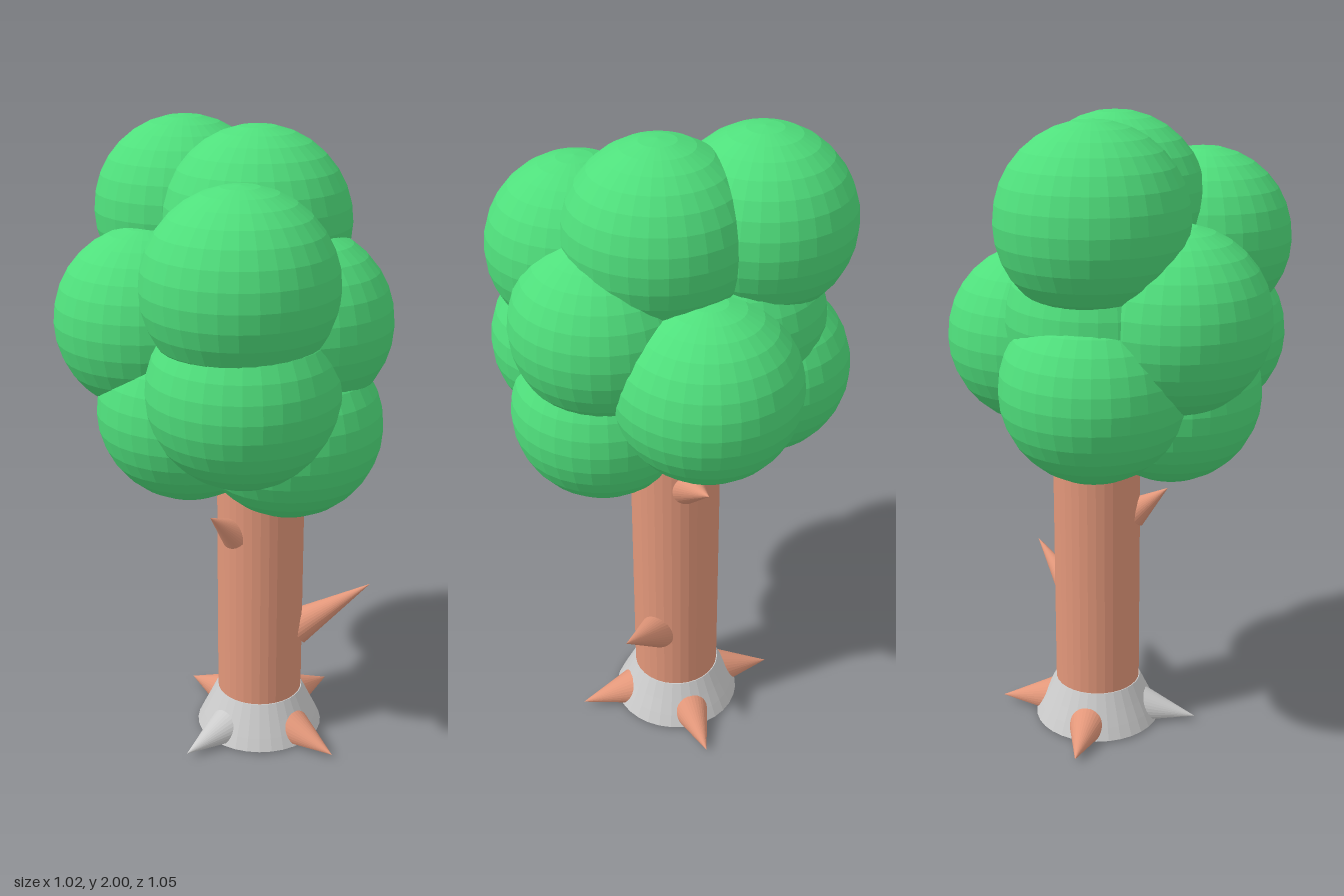
import * as THREE from 'three';

const leafMat = new THREE.MeshStandardMaterial({ color: 0x4fdf7c, flatShading: true });
const barkMat = new THREE.MeshStandardMaterial({ color: 0xe2977a, flatShading: true });
const greyMat = new THREE.MeshStandardMaterial({ color: 0xcccccc, flatShading: true });

const TRUNK_X = 0.058, TRUNK_Z = 0.04, TRUNK_R = 0.139;
const UP = new THREE.Vector3(0, 1, 0);

function add(parent, name, geometry, material) {
  const mesh = new THREE.Mesh(geometry, material);
  mesh.name = name;
  parent.add(mesh);
  return mesh;
}

// Cone running from the centre of its base to its tip
function spike(base, tip, radius) {
  const a = new THREE.Vector3(...base);
  const axis = new THREE.Vector3(...tip).sub(a);
  const height = axis.length();
  const geometry = new THREE.ConeGeometry(radius, height, 32);
  geometry.translate(0, height / 2, 0);
  geometry.applyQuaternion(new THREE.Quaternion().setFromUnitVectors(UP, axis.normalize()));
  return geometry.translate(a.x, a.y, a.z);
}

// Root spur: a spike with its underside flattened to the ground
function rootSpur() {
  const geometry = spike([0.12, 0.042, 0], [0.334, 0.018, 0], 0.076);
  const p = geometry.attributes.position;
  for (let i = 0; i < p.count; i++) p.setY(i, Math.max(p.getY(i), 0.01));
  geometry.computeVertexNormals();
  return geometry;
}

export function createModel() {
  const tree = new THREE.Group();
  tree.name = 'tree';

  // Trunk
  const trunk = add(tree, 'trunk', new THREE.CylinderGeometry(TRUNK_R, TRUNK_R, 1.2, 32), barkMat);
  trunk.position.set(TRUNK_X, 0.6, TRUNK_Z);

  // Flared collar around the foot, with a ring-shaped underside
  const collarProfile = [[0.138, 0.006], [0.208, 0.006], [0.19, 0.045], [0.168, 0.09], [0.142, 0.145], [0.138, 0.145]]
    .map(([r, y]) => new THREE.Vector2(r, y));
  const collar = add(tree, 'rootCollar', new THREE.LatheGeometry(collarProfile, 32), greyMat);
  collar.position.set(TRUNK_X, 0, TRUNK_Z);

  // Four root spurs, the one towards -x grey
  for (let i = 0; i < 4; i++) {
    const root = add(tree, 'rootSpur', rootSpur(), i === 2 ? greyMat : barkMat);
    root.position.set(TRUNK_X, 0, TRUNK_Z);
    root.rotation.y = i * Math.PI / 2;
  }

  // Branch stubs
  const stubs = [
    [[0.165, 0.95, 0.04], [0.373, 1.06, 0.038], 0.056],
    [[0.14, 0.36, 0.125], [0.325, 0.512, 0.285], 0.06],
    [[-0.06, 0.74, 0.045], [-0.172, 0.833, 0.05], 0.05],
  ];
  for (const [base, tip, radius] of stubs) add(tree, 'branchStub', spike(base, tip, radius), barkMat);

  // Foliage: equal overlapping balls
  const foliage = new THREE.Group();
  foliage.name = 'foliage';
  tree.add(foliage);
  const ball = new THREE.SphereGeometry(0.277, 32, 16);
  const centres = [
    [0.005, 1.723, -0.238], [0.005, 1.723, 0.07],
    [-0.235, 1.605, 0.245], [0.005, 1.461, 0.237],
    [-0.226, 1.305, 0.25], [-0.03, 1.157, 0.241],
    [0.228, 1.334, -0.005], [-0.224, 1.434, -0.16],
    [0, 1.43, -0.16], [0, 1.243, -0.249],
    [-0.187, 1.179, -0.02],
  ];
  for (const c of centres) add(foliage, 'leafBall', ball, leafMat).position.set(...c);

  return tree;
}
